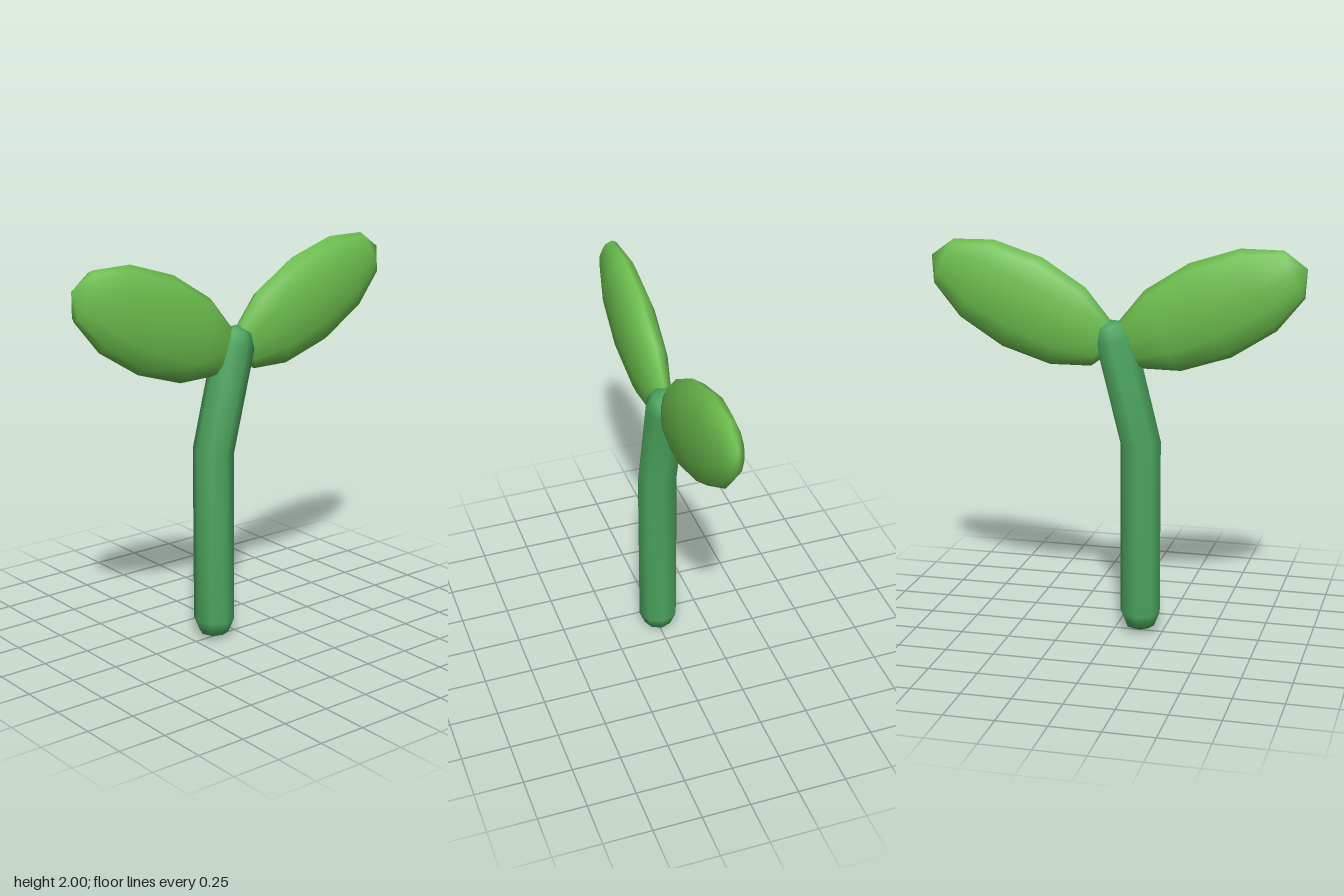
import * as THREE from 'three';
import { mergeVertices } from 'three/addons/utils/BufferGeometryUtils.js';

const STEM_X = -0.133, BEND_Y = 1.0, BEND = 0.245, R = 0.104;

// Eight-sided rod with rounded ends, its upper part leaning towards +x
function stemGeometry() {
  const k = Math.SQRT1_2, top = 1.535;
  const profile = [
    [0, 0], [R * k, R * (1 - k)], [R, R], [R, BEND_Y],
    [R, top], [R * k, top + R * k], [0, top + R],
  ].map(([r, y]) => new THREE.Vector2(r, y));
  let geo = new THREE.LatheGeometry(profile, 8);
  const p = geo.attributes.position;
  for (let i = 0; i < p.count; i++) {
    const x = p.getX(i), s = p.getY(i) - BEND_Y;
    // The ring at the bend is a mitre, so it turns only half the angle
    const lean = s > 0.001 ? BEND : s > -0.001 ? BEND / 2 : 0;
    p.setXY(i,
      STEM_X + x * Math.cos(lean) + s * Math.sin(lean),
      BEND_Y - x * Math.sin(lean) + s * Math.cos(lean));
  }
  geo.deleteAttribute('normal');
  geo.deleteAttribute('uv');
  geo = mergeVertices(geo);
  geo.computeVertexNormals();
  return geo;
}

// Flattened ellipsoid leaf, side = +1 for left and -1 for right
function leafGeometry(side) {
  const geo = new THREE.SphereGeometry(1, 12, 6);
  geo.scale(0.252, 0.52, 0.102);
  geo.rotateZ(-side * (Math.PI / 2 - 0.44));
  geo.translate(side * 0.477, 1.687, 0);
  return geo;
}

export function createModel() {
  const model = new THREE.Group();
  model.name = 'sprout';
  const add = (name, geo, material) => {
    const mesh = new THREE.Mesh(geo, material);
    mesh.name = name;
    model.add(mesh);
  };
  const stemGreen = new THREE.MeshStandardMaterial({ color: 0x4ca55f });
  const leafGreen = new THREE.MeshStandardMaterial({ color: 0x6cbe4e });

  add('stem', stemGeometry(), stemGreen);
  add('leftLeaf', leafGeometry(1), leafGreen);
  add('rightLeaf', leafGeometry(-1), leafGreen);
  return model;
}
